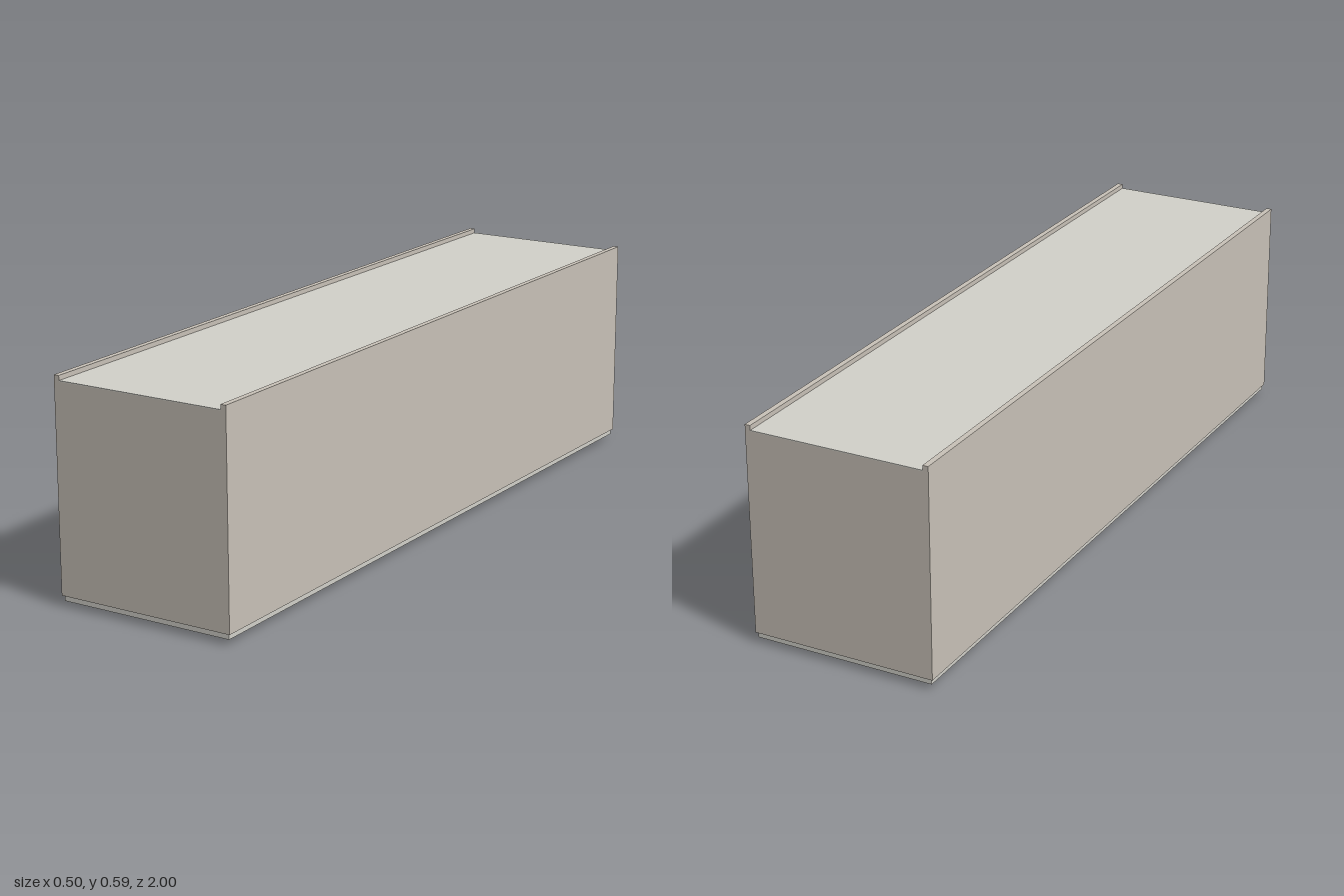
import * as THREE from 'three';

export function createModel() {
  const model = new THREE.Group();
  const shell = new THREE.MeshStandardMaterial({ color: 0xc9c2b8 });
  const panel = new THREE.MeshStandardMaterial({ color: 0xd2d1ca });
  const dark = new THREE.MeshStandardMaterial({ color: 0x808084 });

  // Box given by its size, bottom height and centre in x and z
  function addBox(name, material, [w, h, d], bottom, x = 0, z = 0) {
    const mesh = new THREE.Mesh(new THREE.BoxGeometry(w, h, d), material);
    mesh.name = name;
    mesh.position.set(x, bottom + h / 2, z);
    model.add(mesh);
  }

  // Main casing: two side walls rising above the top, joined into one profile
  const casing = new THREE.Shape([
    [-0.25, 0.029], [0.25, 0.029], [0.25, 0.588], [0.235, 0.588],
    [0.235, 0.573], [-0.235, 0.573], [-0.235, 0.588], [-0.25, 0.588],
  ].map(([x, y]) => new THREE.Vector2(x, y)));
  const body = new THREE.Mesh(
    new THREE.ExtrudeGeometry(casing, { depth: 2, bevelEnabled: false }).translate(0, 0, -1), shell);
  body.name = 'casing';
  model.add(body);

  // Top sheet lying between the raised rims
  addBox('topPanel', panel, [0.47, 0.003, 2], 0.5725);

  // Slightly inset floor and the small pull tab beneath its front end
  addBox('basePanel', panel, [0.49, 0.015, 1.99], 0.0145);
  addBox('pullTab', dark, [0.095, 0.015, 0.013], 0, 0, 0.925);

  return model;
}
